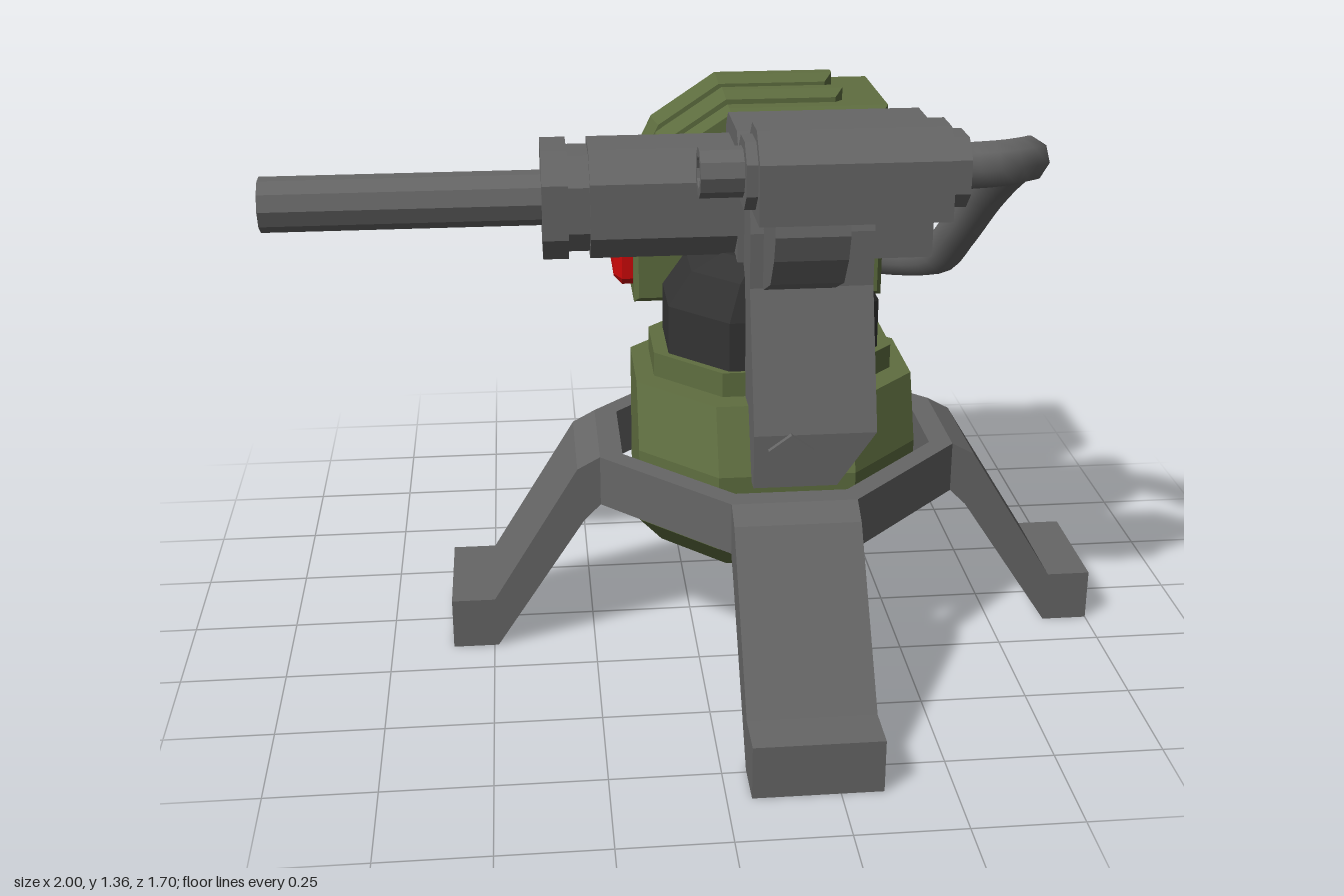
import * as THREE from 'three';

const CX = 0.2; // the stand's axis in x
const mat = (color) => new THREE.MeshStandardMaterial({ color, flatShading: true });

export function createModel() {
  const group = new THREE.Group();
  const grey = mat(0x666666), dark = mat(0x333333), green = mat(0x5f6e40), red = mat(0xcc0808);
  const tubeGrey = new THREE.MeshStandardMaterial({ color: 0x666666 });

  const add = (name, geometry, material, parent = group) => {
    const mesh = new THREE.Mesh(geometry, material);
    mesh.name = name;
    parent.add(mesh);
    return mesh;
  };
  const shapeOf = (pts) => new THREE.Shape(pts.map(([a, b]) => new THREE.Vector2(a, b)));

  // outline in x, y pushed from z0 to z1, with an optional chamfer kept inside the size
  const prismZ = (pts, z0, z1, bevel = 0) =>
    new THREE.ExtrudeGeometry(shapeOf(pts), {
      depth: z1 - z0 - 2 * bevel, bevelEnabled: bevel > 0, bevelSegments: 1,
      bevelThickness: bevel, bevelSize: bevel, bevelOffset: -bevel,
    }).translate(0, 0, z0 + bevel);

  // outline in z, y pushed from x0 to x1
  const prismX = (pts, x0, x1, bevel = 0) =>
    prismZ(pts.map(([z, y]) => [-z, y]), x0, x1, bevel).rotateY(Math.PI / 2);

  // rectangle with cut corners
  const cutRect = (a0, a1, b0, b1, c) => [
    [a0 + c, b0], [a1 - c, b0], [a1, b0 + c], [a1, b1 - c],
    [a1 - c, b1], [a0 + c, b1], [a0, b1 - c], [a0, b0 + c]];

  // stack of eight-sided rings, each [y, half width, back z, front z]
  const loft = (rings) => {
    const pos = [], index = [], top = (rings.length - 1) * 8;
    for (const [y, h, back, front] of rings)
      for (const [x, z] of cutRect(-h, h, back, front, h * 0.52)) pos.push(CX + x, y, z);
    for (let r = 0; r < rings.length - 1; r++)
      for (let i = 0; i < 8; i++) {
        const a = r * 8 + i, b = r * 8 + (i + 1) % 8;
        index.push(a, a + 8, b, b, a + 8, b + 8);
      }
    for (let i = 1; i < 7; i++) index.push(0, i, i + 1, top, top + i + 1, top + i);
    const g = new THREE.BufferGeometry();
    g.setAttribute('position', new THREE.Float32BufferAttribute(pos, 3));
    g.setIndex(index);
    g.computeVertexNormals();
    return g;
  };

  // stand: eight-sided ring frame and four bent legs
  const stand = new THREE.Group();
  stand.name = 'stand';
  stand.position.x = CX;
  group.add(stand);
  const frame = shapeOf(cutRect(-0.43, 0.43, -0.43, 0.43, 0.285));
  frame.holes.push(shapeOf(cutRect(-0.375, 0.375, -0.375, 0.375, 0.245)));
  add('ringFrame', new THREE.ExtrudeGeometry(frame, { depth: 0.125, bevelEnabled: false })
    .rotateX(-Math.PI / 2).translate(0, 0.375, 0), grey, stand);
  for (let i = 0; i < 4; i++) {
    const R = i % 2 ? 0.85 : 0.8;
    const leg = add('leg', prismZ([
      [0.375, 0.375], [0.43, 0.375], [0.47, 0.335], [R - 0.11, 0], [R, 0], [R, 0.127],
      [R - 0.105, 0.127], [0.485, 0.47], [0.43, 0.5], [0.375, 0.5]], -0.145, 0.145), grey, stand);
    leg.rotation.y = i * Math.PI / 2;
  }

  // turning base
  add('base', loft([
    [0.255, 0.28, -0.29, 0.25], [0.325, 0.335, -0.34, 0.31], [0.51, 0.335, -0.34, 0.31],
    [0.66, 0.335, -0.34, 0.24]]), green);
  add('baseCollar', loft([[0.65, 0.29, -0.3, 0.18], [0.72, 0.29, -0.3, 0.18]]), green);
  add('dome', loft([
    [0.71, 0.255, -0.27, 0.17], [0.84, 0.255, -0.265, 0.17],
    [0.93, 0.2, -0.21, 0.15], [0.98, 0.13, -0.14, 0.13]]), dark);

  // front post, its sides cut to a slanted foot
  const post = prismX([
    [0.3, 0.5], [0.35, 0.5], [0.35, 0.63], [0.24, 0.95], [0.24, 1.08], [0.2, 1.22],
    [0.12, 1.25], [0.12, 0.72], [0.2, 0.64]], 0.115, 0.4);
  const p = post.attributes.position;
  for (let i = 0; i < p.count; i++)
    if (p.getX(i) > 0.3 && p.getY(i) < 0.55) p.setX(i, 0.31);
  add('post', post, grey);
  add('postBolt', new THREE.CylinderGeometry(0.055, 0.055, 0.03, 5)
    .rotateX(Math.PI / 2).rotateZ(Math.PI).translate(CX, 0.58, 0.348), grey);

  // gun
  add('receiver', prismX([
    [-0.135, 0.975], [0.125, 0.975], [0.125, 1.235], [0.085, 1.28], [-0.09, 1.28], [-0.135, 1.235]],
    0.1, 0.56), grey);
  add('barrelHousing', prismX(cutRect(-0.135, 0.125, 0.975, 1.235, 0.065), -0.24, 0.12), grey);
  add('housingNeck', prismX(cutRect(-0.12, 0.11, 0.99, 1.22, 0.06), -0.3, -0.23), grey);
  add('housingCollar', prismX(cutRect(-0.135, 0.125, 0.975, 1.235, 0.065), -0.35, -0.29), grey);
  add('sideCatch', new THREE.BoxGeometry(0.16, 0.08, 0.03).translate(0.32, 1.11, -0.14), grey);

  // hollow tube pointing to -x
  const pipe = (r, bore, length) => new THREE.LatheGeometry(
    [[r, 0], [r, length], [bore, length], [bore, length - 0.08], [0, length - 0.08]]
      .map(([a, b]) => new THREE.Vector2(a, b)), 10).rotateZ(Math.PI / 2);
  add('barrel', pipe(0.065, 0.04, 0.66), grey).position.set(-0.34, 1.107, -0.005);

  // sight on its curved bracket
  add('sightBracket', prismX([
    [0.42, 1.18], [0.43, 1.13], [0.41, 1.07], [0.36, 1.0], [0.25, 0.95], [0.2, 0.95],
    [0.2, 1.1], [0.24, 1.09], [0.26, 1.12], [0.27, 1.18]], 0.145, 0.31), grey);
  add('sightBody', prismX([
    [0.27, 1.165], [0.46, 1.165], [0.46, 1.3], [0.4, 1.36], [0.32, 1.36], [0.27, 1.31]],
    0.105, 0.525), grey);
  add('sightRing', prismX(cutRect(0.285, 0.435, 1.185, 1.335, 0.04), 0.08, 0.11), grey);
  add('sightRearCap', prismX(cutRect(0.28, 0.44, 1.18, 1.335, 0.04), 0.52, 0.565), grey);
  add('sightLens', pipe(0.056, 0.035, 0.1), grey).position.set(0.085, 1.26, 0.355);

  // hose from the sight round to the ammunition box
  const path = new THREE.CatmullRomCurve3([
    [0.55, 1.26, 0.36], [0.65, 1.26, 0.345], [0.725, 1.25, 0.28], [0.738, 1.2, 0.13],
    [0.72, 1.09, -0.02], [0.69, 0.96, -0.14], [0.66, 0.86, -0.24], [0.6, 0.825, -0.33],
    [0.5, 0.82, -0.38]].map((v) => new THREE.Vector3(...v)));
  add('hose', new THREE.TubeGeometry(path, 28, 0.053, 8), tubeGrey);
  add('hoseSocket', new THREE.CylinderGeometry(0.06, 0.06, 0.03, 8)
    .rotateZ(Math.PI / 2).translate(0.52, 0.82, -0.375), grey);

  // ammunition box
  const box = new THREE.Group();
  box.name = 'ammunitionBox';
  group.add(box);
  add('boxBody', prismZ([
    [-0.12, 0.757], [0.515, 0.757], [0.515, 1.253], [0.12, 1.253], [-0.03, 1.155], [-0.12, 0.96]],
    -0.56, -0.225, 0.012), green, box);
  add('backPanel', prismZ([
    [-0.03, 0.82], [0.44, 0.82], [0.44, 1.19], [0.14, 1.19], [0.03, 1.12], [-0.05, 0.96]],
    -0.572, -0.54, 0.012), green, box);
  for (const z of [-0.48, -0.31])
    add('topRib', prismZ([
      [0.41, 1.22], [0.41, 1.285], [0.11, 1.285], [-0.055, 1.175], [-0.155, 0.97],
      [-0.115, 0.93], [-0.07, 0.95], [0.0, 1.12], [0.13, 1.22]],
      z - 0.035, z + 0.035, 0.02), green, box);
  add('redHandle', prismX(cutRect(-0.53, -0.26, 0.79, 0.89, 0.02), -0.168, -0.1, 0.02), red, box);
  for (const [x, y] of [[-0.07, 0.8], [0.47, 0.8], [0.47, 1.21], [0.13, 1.215]])
    add('boxBolt', new THREE.CylinderGeometry(0.024, 0.024, 0.03, 6)
      .rotateX(Math.PI / 2).translate(x, y, -0.562), grey, box);

  return group;
}
